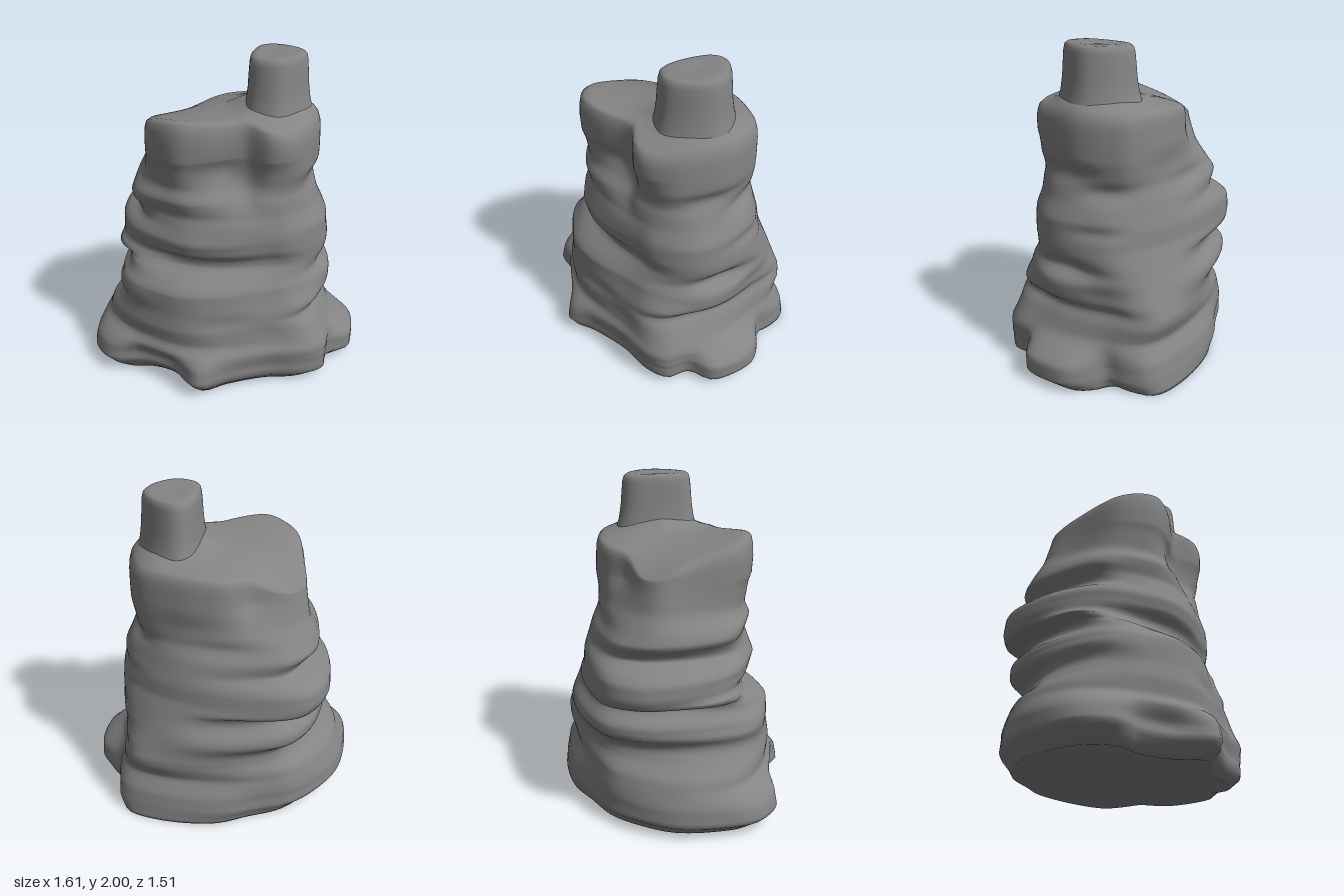
import * as THREE from 'three';

const SEG = 112;

// Radius of a smooth closed outline of [x, z] points, sampled at even angles
function radii(points) {
  const curve = new THREE.CatmullRomCurve3(points.map(([x, z]) => new THREE.Vector3(x, 0, z)), true, 'centripetal');
  const p = curve.getPoints(240);
  return Array.from({ length: SEG }, (_, i) => {
    const a = (i / SEG) * Math.PI * 2, c = Math.cos(a), s = Math.sin(a);
    let best = 0.01;
    for (let k = 0; k < p.length - 1; k++) {
      const d0 = p[k].z * c - p[k].x * s, d1 = p[k + 1].z * c - p[k + 1].x * s;
      if (d0 * d1 > 0 || d0 === d1) continue;
      const t = d0 / (d0 - d1);
      const r = (p[k].x + (p[k + 1].x - p[k].x) * t) * c + (p[k].z + (p[k + 1].z - p[k].z) * t) * s;
      best = Math.max(best, r);
    }
    return best;
  });
}

// Linear lookup in a list of [y, value] pairs
function lookup(table, y) {
  if (y <= table[0][0]) return table[0][1];
  for (let i = 1; i < table.length; i++) {
    const [y0, v0] = table[i - 1], [y1, v1] = table[i];
    if (y <= y1) return v0 + ((v1 - v0) * (y - y0)) / (y1 - y0);
  }
  return table[table.length - 1][1];
}

// Smooth skin through rings of equal point count, closed by its tiny end rings
function skin(rings) {
  const pos = [], idx = [];
  rings.forEach((ring) => ring.forEach((p) => pos.push(p.x, p.y, p.z)));
  for (let r = 0; r < rings.length - 1; r++) {
    for (let i = 0; i < SEG; i++) {
      const j = (i + 1) % SEG, a = r * SEG + i, b = r * SEG + j, c = a + SEG, d = b + SEG;
      idx.push(a, c, b, b, c, d);
    }
  }
  const g = new THREE.BufferGeometry();
  g.setAttribute('position', new THREE.Float32BufferAttribute(pos, 3));
  g.setIndex(idx);
  g.computeVertexNormals();
  return g;
}

const shrink = (ring, cx, cz, s, yAt) => ring.map((p) => {
  const x = cx + (p.x - cx) * s, z = cz + (p.z - cz) * s;
  return new THREE.Vector3(x, yAt(x, z), z);
});

// Plan outlines of the foot, the shelf above it, the middle ledges and the upper block
const foot = radii([[-0.81, 0.2], [-0.76, 0.45], [-0.66, 0.66], [-0.46, 0.75], [-0.3, 0.67], [-0.08, 0.65], [0.16, 0.73],
  [0.27, 0.59], [0.47, 0.39], [0.65, 0.27], [0.74, 0.14], [0.71, 0], [0.8, -0.14], [0.78, -0.28], [0.7, -0.44], [0.6, -0.5],
  [0.46, -0.54], [0.41, -0.64], [0.3, -0.76], [0.05, -0.74], [-0.33, -0.58], [-0.5, -0.42], [-0.68, -0.24], [-0.78, 0]]);
const shelf = radii([[-0.74, 0.2], [-0.68, 0.42], [-0.57, 0.56], [-0.4, 0.64], [-0.2, 0.67], [0, 0.66], [0.15, 0.61], [0.29, 0.51],
  [0.45, 0.38], [0.64, 0.24], [0.69, 0.12], [0.65, -0.05], [0.61, -0.2], [0.54, -0.35], [0.45, -0.48], [0.36, -0.62],
  [0.25, -0.69], [0.05, -0.67], [-0.3, -0.52], [-0.5, -0.38], [-0.66, -0.2]]);
const ledge = radii([[-0.77, 0], [-0.74, -0.2], [-0.65, -0.3], [-0.35, -0.46], [-0.05, -0.54], [0.2, -0.54], [0.4, -0.48],
  [0.55, -0.3], [0.62, -0.1], [0.6, 0.05], [0.52, 0.2], [0.4, 0.3], [0.2, 0.47], [0, 0.56], [-0.2, 0.56], [-0.45, 0.5], [-0.65, 0.3]]);
const upper = radii([[-0.66, 0.05], [-0.6, -0.1], [-0.35, -0.31], [0, -0.43], [0.25, -0.46], [0.33, -0.42], [0.48, -0.25],
  [0.53, 0], [0.5, 0.13], [0.38, 0.26], [0.24, 0.28], [0.1, 0.45], [-0.05, 0.54], [-0.2, 0.54], [-0.38, 0.47], [-0.55, 0.25]]);

// Reach of the rock to each side by height
const left = [[0, 0.72], [0.04, 0.75], [0.09, 0.81], [0.2, 0.8], [0.35, 0.74], [0.42, 0.66], [0.48, 0.62], [0.52, 0.63], [0.58, 0.7],
  [0.66, 0.7], [0.72, 0.62], [0.765, 0.61], [0.79, 0.75], [0.85, 0.77], [0.94, 0.76], [0.99, 0.7], [1.02, 0.6], [1.05, 0.6],
  [1.13, 0.67], [1.2, 0.64], [1.3, 0.59], [1.4, 0.57], [1.5, 0.55]];
const right = [[0, 0.72], [0.06, 0.8], [0.17, 0.8], [0.21, 0.75], [0.27, 0.73], [0.4, 0.65], [0.46, 0.59], [0.52, 0.64], [0.64, 0.63],
  [0.7, 0.6], [0.85, 0.61], [1, 0.6], [1.1, 0.55], [1.23, 0.51], [1.35, 0.53], [1.55, 0.53]];
const front = [[0, 0.66], [0.05, 0.72], [0.1, 0.76], [0.2, 0.74], [0.3, 0.67], [0.4, 0.68], [0.5, 0.66], [0.65, 0.65], [0.7, 0.6],
  [0.77, 0.48], [0.82, 0.48], [0.87, 0.54], [0.95, 0.56], [1.02, 0.53], [1.1, 0.5], [1.2, 0.53], [1.27, 0.5], [1.4, 0.52], [1.5, 0.55]];
const back = [[0, 0.75], [0.1, 0.74], [0.2, 0.72], [0.3, 0.66], [0.4, 0.7], [0.45, 0.7], [0.55, 0.66], [0.7, 0.6], [0.85, 0.54],
  [0.95, 0.53], [1.05, 0.5], [1.2, 0.46], [1.35, 0.47], [1.55, 0.47]];

// Local hollows and swellings: angle, y, angular width, height, amount
const bumps = [[1.25, 1.38, 0.28, 0.1, -0.07], [0.5, 1.5, 0.22, 0.1, 0.04], [0.8, 1.1, 0.4, 0.1, 0.03],
  [-0.35, 0.71, 0.3, 0.05, -0.05], [-0.3, 1.28, 0.4, 0.05, -0.03], [0.6, 0.46, 0.35, 0.05, 0.03],
  [2.3, 0.77, 0.4, 0.06, 0.1], [2.3, 0.6, 0.4, 0.1, 0.03], [2.35, 1.15, 0.35, 0.07, 0.03], [-0.75, 0.58, 0.3, 0.1, -0.04],
  [-0.8, 1.17, 0.3, 0.05, -0.04], [-0.75, 0.95, 0.3, 0.04, -0.02], [-2.72, 1.5, 0.33, 0.15, -0.1],
  [-2.2, 1.18, 0.5, 0.05, -0.03], [-2.3, 0.7, 0.5, 0.06, -0.03], [-1.7, 1.43, 0.45, 0.09, 0.02]];

function rockRing(y) {
  const toShelf = THREE.MathUtils.smoothstep(y, 0.14, 0.3);
  const toLedge = THREE.MathUtils.smoothstep(y, 0.4, 0.65);
  const toUpper = THREE.MathUtils.smoothstep(y, 1.03, 1.35);
  const ring = foot.map((f, i) => {
    const a = (i / SEG) * Math.PI * 2;
    let r = THREE.MathUtils.lerp(f, shelf[i], toShelf);
    r = THREE.MathUtils.lerp(r, ledge[i], toLedge);
    r = THREE.MathUtils.lerp(r, upper[i], toUpper);
    return new THREE.Vector3(Math.cos(a) * r, y, Math.sin(a) * r);
  });
  const xs = ring.map((p) => p.x), zs = ring.map((p) => p.z);
  const sx = [lookup(left, y) / -Math.min(...xs), lookup(right, y) / Math.max(...xs)];
  const sz = [lookup(back, y) / -Math.min(...zs), lookup(front, y) / Math.max(...zs)];
  ring.forEach((p) => {
    const a = Math.atan2(p.z, p.x);
    let k = 1;
    for (const [ba, by, wa, wy, amount] of bumps) {
      const da = Math.atan2(Math.sin(a - ba), Math.cos(a - ba)) / wa, dy = (y - by) / wy;
      k += (amount / 0.55) * Math.exp(-da * da - dy * dy);
    }
    p.x *= k * sx[p.x < 0 ? 0 : 1];
    p.z *= k * sz[p.z < 0 ? 0 : 1];
  });
  return ring;
}

// Height of the top: raised front rim, falling to the left, swelling around the pillar
function topY(x, z) {
  const mound = Math.exp(-((x - 0.27) ** 2 + (z + 0.1) ** 2) / 0.055);
  const hollow = Math.exp(-((x + 0.52) ** 2 + (z + 0.12) ** 2) / 0.05);
  return 1.65 + 0.2 * Math.max(0, z) ** 2 - 0.36 * Math.min(0, x) ** 2 - 0.2 * Math.max(0, x - 0.2)
    - 0.1 * Math.max(0, -z - 0.2) + 0.15 * mound - 0.08 * hollow;
}

// Layered rock body
function rockBody() {
  const rings = [];
  const base = rockRing(0);
  for (const s of [0.001, 0.5, 0.9]) rings.push(shrink(base, 0, 0, s, () => 0.012));
  for (let i = 0; i <= 74; i++) rings.push(rockRing((i / 74) * 1.46));
  const rim = rockRing(1.48);
  for (const [s, t] of [[0.998, 0.35], [0.99, 0.65], [0.97, 0.88], [0.93, 0.97], [0.87, 1], [0.78, 1], [0.68, 1], [0.58, 1],
    [0.48, 1], [0.38, 1], [0.25, 1], [0.001, 1]]) {
    rings.push(shrink(rim, -0.05, 0, s, (x, z) => 1.48 + (topY(x, z) - 1.48) * t));
  }
  return skin(rings);
}

// Stubby pillar, flared where it grows out of the rock
function pillarStub() {
  const cx = 0.24, cz = -0.1;
  const plan = radii([[-0.17, -0.12], [-0.12, -0.19], [0.02, -0.19], [0.15, -0.11], [0.175, 0.02], [0.1, 0.18], [-0.04, 0.2], [-0.12, 0.1]]);
  const outline = plan.map((r, i) => {
    const a = (i / SEG) * Math.PI * 2;
    return new THREE.Vector3(cx + Math.cos(a) * r, 0, cz + Math.sin(a) * r);
  });
  const steps = [[1.5, 1.45], [1.6, 1.32], [1.66, 1.22], [1.72, 1.14], [1.8, 1.08], [1.88, 1.05], [1.95, 1.02],
    [1.98, 0.98], [1.993, 0.9], [1.997, 0.72], [1.995, 0.4], [1.99, 0.001]];
  return skin(steps.map(([y, s]) => shrink(outline, cx, cz, s, (x) => Math.min(2, y + (y > 1.9 ? 0.02 * (x - cx) : 0)))));
}

export function createModel() {
  const group = new THREE.Group();
  group.name = 'layeredRock';
  const material = new THREE.MeshStandardMaterial({ color: 0x848484 });
  for (const [name, geometry] of [['rockBody', rockBody()], ['pillarStub', pillarStub()]]) {
    const mesh = new THREE.Mesh(geometry, material);
    mesh.name = name;
    group.add(mesh);
  }
  return group;
}
